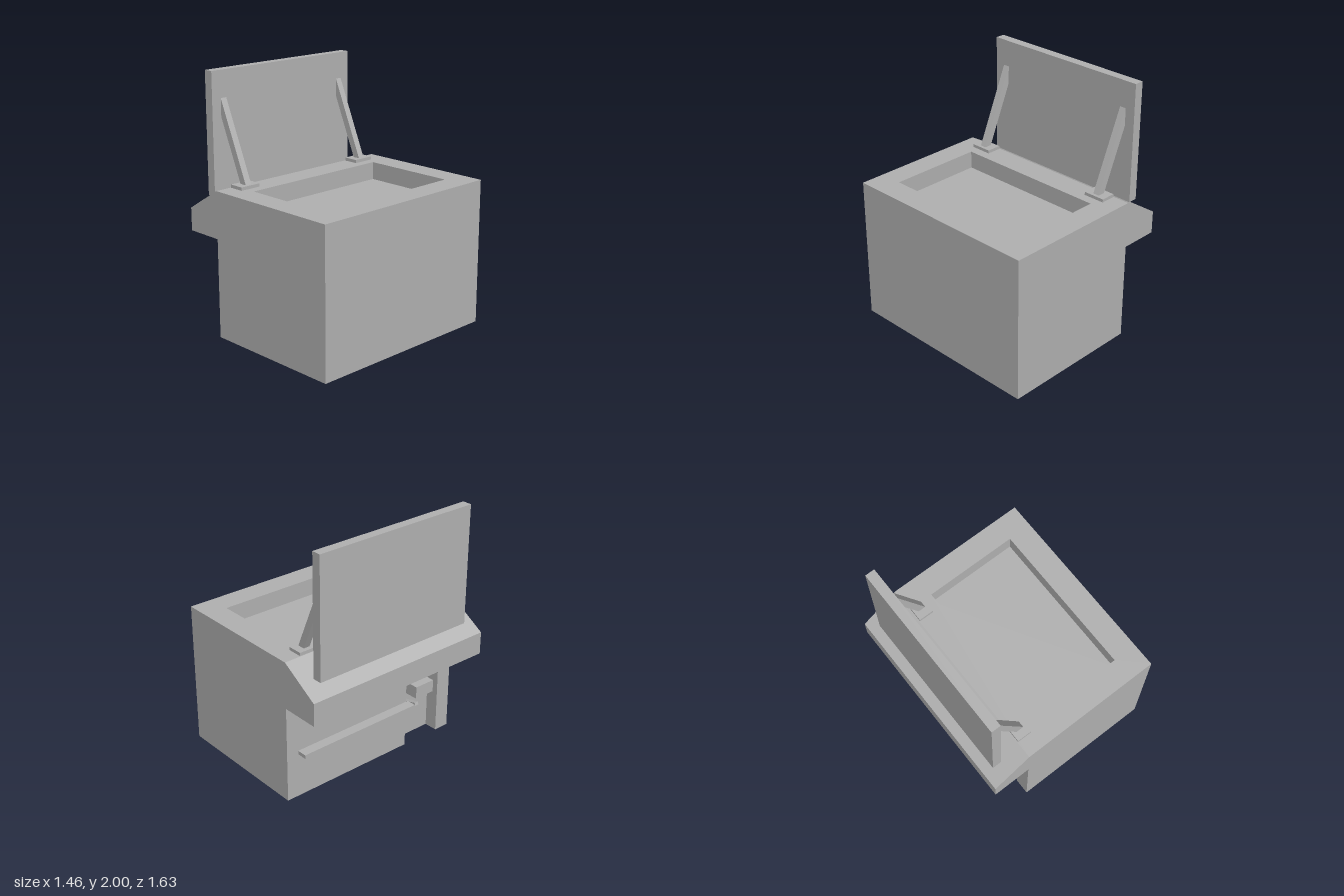
import * as THREE from 'three';

const HALF = 0.817; // half width of the cabinet along z

export function createModel() {
  const group = new THREE.Group();
  const grey = new THREE.MeshStandardMaterial({ color: 0xb2b2b2, side: THREE.DoubleSide });
  grey.name = 'plainGrey';

  const add = (name, geometry, parent = group) => {
    const mesh = new THREE.Mesh(geometry, grey);
    mesh.name = name;
    parent.add(mesh);
    return mesh;
  };
  const box = (name, x0, x1, y0, y1, z0, z1) => {
    const g = new THREE.BoxGeometry(x1 - x0, y1 - y0, z1 - z0);
    return add(name, g.translate((x0 + x1) / 2, (y0 + y1) / 2, (z0 + z1) / 2));
  };
  // box seen from inside, with some faces left out (0..5 = +x -x +y -y +z -z)
  const cavity = (name, skip, x0, x1, y0, y1, z0, z1) => {
    const mesh = box(name, x0, x1, y0, y1, z0, z1);
    const g = mesh.geometry;
    const index = Array.from(g.index.array).filter((_, i) => !skip.includes(Math.floor(i / 6)));
    g.setIndex(index.reverse());
    g.clearGroups();
    const n = g.attributes.normal;
    for (let i = 0; i < n.count; i++) n.setXYZ(i, -n.getX(i), -n.getY(i), -n.getZ(i));
  };
  const shapeOf = (pts) => new THREE.Shape(pts.map(([a, b]) => new THREE.Vector2(a, b)));

  // Cabinet shell: open underneath, with a sloping ledge on one side
  const profile = [[0.73, 0], [0.73, 1.15], [-0.42, 1.15], [-0.73, 0.96],
    [-0.73, 0.78], [-0.42, 0.78], [-0.42, 0]];
  add('cabinetFront', new THREE.ShapeGeometry(shapeOf(profile)).translate(0, 0, HALF));
  add('cabinetBack', new THREE.ShapeGeometry(shapeOf(profile.map(([x, y]) => [-x, y])))
    .rotateY(Math.PI).translate(0, 0, -HALF));

  const names = { 0: 'cabinetSide', 2: 'ledgeSlope', 3: 'ledgeLip', 4: 'ledgeUnderside' };
  for (const key of Object.keys(names)) {
    const [ax, ay] = profile[+key], [bx, by] = profile[+key + 1];
    const g = new THREE.BufferGeometry();
    g.setAttribute('position', new THREE.Float32BufferAttribute([
      ax, ay, HALF, ax, ay, -HALF, bx, by, -HALF, bx, by, HALF], 3));
    g.setIndex([0, 1, 2, 0, 2, 3]);
    g.computeVertexNormals();
    add(names[key], g);
  }

  // Top with a sunken tray
  const top = shapeOf([[-0.42, -HALF], [0.73, -HALF], [0.73, HALF], [-0.42, HALF]]);
  top.holes.push(shapeOf([[-0.22, -0.628], [-0.22, 0.628], [0.535, 0.628], [0.535, -0.628]]));
  add('cabinetTop', new THREE.ShapeGeometry(top).rotateX(-Math.PI / 2).translate(0, 1.15, 0));
  cavity('tray', [2], -0.22, 0.535, 1.01, 1.15, -0.628, 0.628);

  // Wall below the ledge, with a doorway alcove
  add('alcoveWall', new THREE.ShapeGeometry(shapeOf([
    [-HALF, 0], [0.35, 0], [0.35, 0.59], [0.69, 0.59], [0.69, 0], [HALF, 0],
    [HALF, 0.78], [-HALF, 0.78]])).rotateY(-Math.PI / 2).translate(-0.42, 0, 0));
  cavity('alcove', [1, 3], -0.42, -0.31, 0, 0.59, 0.35, 0.69);

  // Fittings on that wall
  box('shelf', -0.5, -0.42, 0.36, 0.39, -0.715, 0.37);
  box('alcoveBox', -0.45, -0.31, 0.4, 0.5, 0.43, 0.61);
  const lever = add('lever', new THREE.BoxGeometry(0.18, 0.025, 0.035));
  lever.position.set(-0.38, 0.345, 0.42);
  lever.rotation.z = -0.25;
  box('peg', -0.33, -0.3, 0.3, 0.33, 0.645, 0.675);

  // Raised lid with a pair of struts on foot plates
  box('lid', -0.66, -0.585, 1.05, 2, -0.7, 0.7);
  for (const side of [-1, 1]) {
    const c = side * 0.593;
    box('strutFoot', -0.415, -0.295, 1.15, 1.175, c - 0.087, c + 0.087);
    const strut = shapeOf([[-0.585, 1.65], [-0.38, 1.175], [-0.32, 1.175], [-0.585, 1.79]]);
    add('strut', new THREE.ExtrudeGeometry(strut, { depth: 0.052, bevelEnabled: false })
      .translate(0, 0, c - 0.026));
  }
  return group;
}
